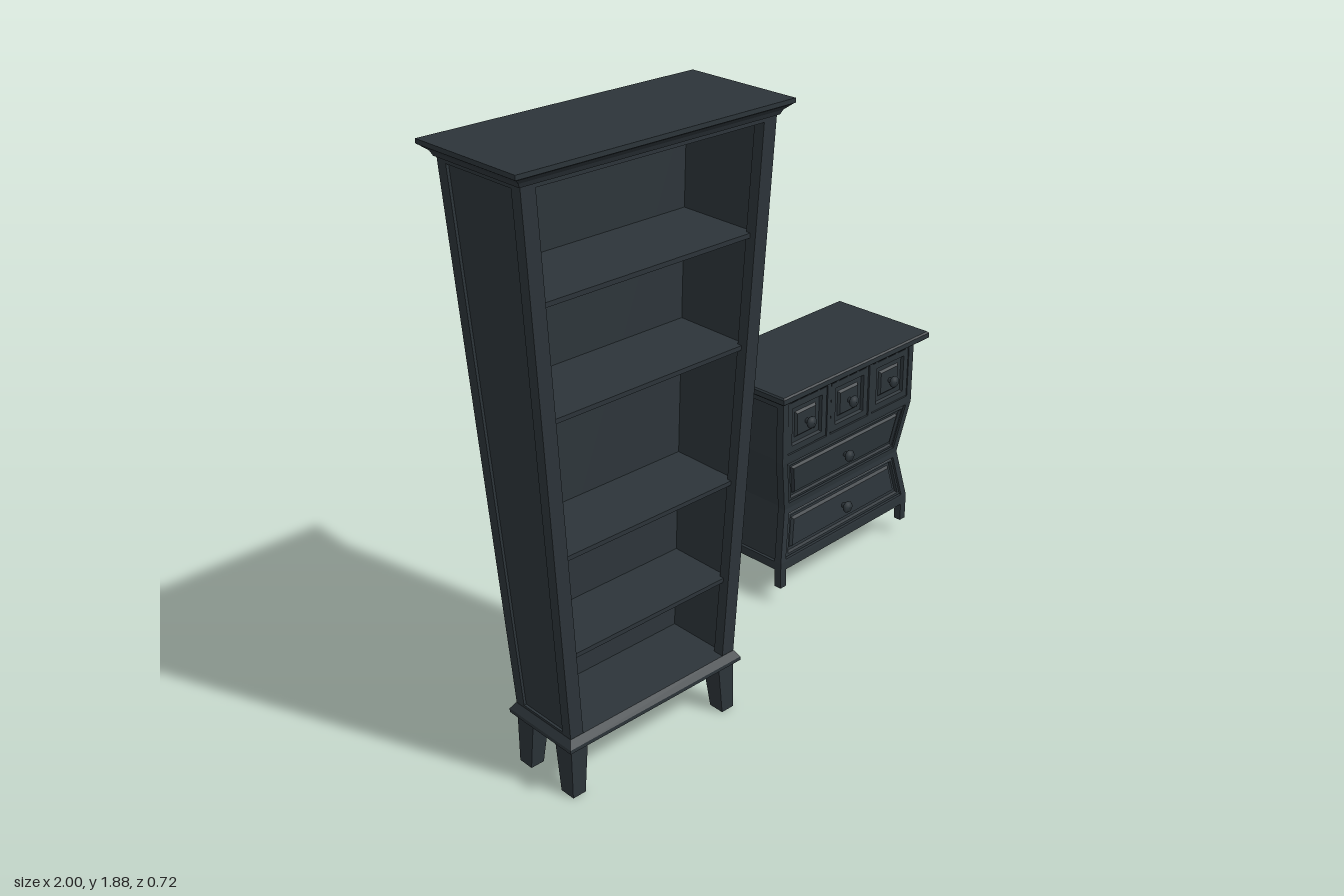
import * as THREE from 'three';

const paint = new THREE.MeshStandardMaterial({ color: 0x2c3439 });
paint.name = 'charcoalPaint';

// Solid skinned over a stack of four-cornered rings, with flat faces
function loft(parent, name, rings) {
  const pos = [];
  const quad = (a, b, c, d) => pos.push(...a, ...b, ...c, ...a, ...c, ...d);
  for (let k = 0; k + 1 < rings.length; k++) {
    const lo = rings[k], hi = rings[k + 1];
    for (let i = 0; i < 4; i++) {
      const j = (i + 1) % 4;
      quad(lo[i], lo[j], hi[j], hi[i]);
    }
  }
  const f = rings[0], l = rings[rings.length - 1];
  quad(f[3], f[2], f[1], f[0]);
  quad(l[0], l[1], l[2], l[3]);
  const g = new THREE.BufferGeometry();
  g.setAttribute('position', new THREE.Float32BufferAttribute(pos, 3));
  g.computeVertexNormals();
  const m = new THREE.Mesh(g, paint);
  m.name = name;
  parent.add(m);
  return m;
}

// Horizontal ring at height y
const ring = (y, x0, x1, z0, z1) => [[x0, y, z1], [x1, y, z1], [x1, y, z0], [x0, y, z0]];
// Centred ring from half width and half depth
const mid = (y, w, d) => ring(y, -w, w, -d, d);
// Column whose plan [x0, x1, z0, z1] depends on height
const column = (p, name, ys, plan) => loft(p, name, ys.map(y => ring(y, ...plan(y))));
// Span of a strip from a to b on side s of the centre
const span = (s, a, b) => (s > 0 ? [a, b] : [-b, -a]);

function bookcase() {
  const g = new THREE.Group();
  g.name = 'bookcase';
  const bottom = 0.195, top = 1.845;
  const t = y => (y - bottom) / (top - bottom);
  const W = y => 0.312 + 0.11 * t(y);
  const D = y => 0.12 + 0.043 * t(y);
  const ends = [bottom, top];

  for (const sx of [-1, 1]) {
    // Recessed side panel
    column(g, 'sidePanel', ends, y => [...span(sx, W(y) - 0.03, W(y) - 0.008), -D(y) + 0.005, D(y) - 0.005]);
    for (const sz of [-1, 1]) {
      // Corner stiles framing the sides and the opening
      column(g, 'cornerStile', ends, y =>
        [...span(sx, W(y) - (sz > 0 ? 0.045 : 0.03), W(y)), ...span(sz, D(y) - 0.035, D(y))]);
      // Legs tapering on their inner faces
      const leg = (y, w, d) => ring(y, ...span(sx, 0.312 - w, 0.312), ...span(sz, 0.12 - d, 0.12));
      loft(g, 'leg', [leg(0, 0.045, 0.052), leg(0.172, 0.06, 0.072)]);
    }
    // Rails across the top and bottom of each side
    for (const [a, b] of [[bottom, 0.21], [1.82, top]])
      column(g, 'sideRail', [a, b], y => [...span(sx, W(y) - 0.03, W(y)), -D(y) + 0.03, D(y) - 0.03]);
  }
  column(g, 'backPanel', ends, y => [-W(y) + 0.02, W(y) - 0.02, -D(y), -D(y) + 0.015]);
  column(g, 'topRail', [1.82, top], y => [-W(y) + 0.03, W(y) - 0.03, D(y) - 0.03, D(y)]);

  // Shelves
  for (const y0 of [0.448, 0.765, 1.18, 1.504])
    column(g, 'shelf', [y0 - 0.004, y0 + 0.01], y => [-W(y) + 0.025, W(y) - 0.025, -D(y) + 0.01, D(y) - 0.02]);

  // Base moulding and cornice
  loft(g, 'baseMoulding', [mid(0.168, 0.327, 0.136), mid(0.18, 0.327, 0.136), mid(0.202, 0.313, 0.121)]);
  loft(g, 'cornice', [mid(1.832, 0.427, 0.168), mid(1.845, 0.433, 0.174),
    mid(1.86, 0.452, 0.19), mid(1.863, 0.457, 0.195), mid(1.876, 0.457, 0.195)]);
  g.position.set(-0.534, 0, 0.146);
  g.rotation.y = -0.038;
  return g;
}

function chest() {
  const g = new THREE.Group();
  g.name = 'drawerChest';
  // How far the waist is pinched, 0 to 1, at height y
  const waist = 0.33;
  const pinch = y => y < waist ? Math.max(0, (y - 0.15) / (waist - 0.15)) : Math.max(0, (0.52 - y) / (0.52 - waist));
  const W = y => 0.331 - 0.038 * pinch(y);
  const D = y => 0.165 - 0.022 * pinch(y);
  const levels = [0.12, 0.15, waist, 0.52, 0.755];
  // Heights from a to b including the bends between them
  const cut = (a, b) => [a, ...levels.filter(y => y > a && y < b), b];

  // Carcass, set back behind its frame at the front and sides
  column(g, 'carcass', levels, y => [-W(y) + 0.01, W(y) - 0.01, -D(y), D(y) - 0.018]);
  for (const sx of [-1, 1]) {
    for (const sz of [-1, 1]) {
      column(g, 'cornerPost', levels, y => [...span(sx, W(y) - 0.024, W(y)), ...span(sz, D(y) - 0.028, D(y))]);
      loft(g, 'foot', [0.056, 0.122].map(y =>
        ring(y, ...span(sx, 0.304, 0.331), ...span(sz, 0.138, 0.165))));
    }
    for (const [a, b] of [[0.12, 0.15], [0.715, 0.755]])
      column(g, 'sideRail', [a, b], y => [...span(sx, W(y) - 0.02, W(y)), -D(y) + 0.02, D(y) - 0.02]);
  }
  // Front rails and dividers
  for (const [a, b] of [[0.12, 0.158], [0.312, 0.35], [0.512, 0.545], [0.728, 0.755]])
    column(g, 'frontRail', cut(a, b), y => [-W(y) + 0.02, W(y) - 0.02, D(y) - 0.022, D(y)]);
  for (const x of [-0.107, 0.107])
    column(g, 'drawerDivider', [0.54, 0.73], y => [x - 0.009, x + 0.009, D(y) - 0.022, D(y)]);

  // Drawer front: rings are [inset, height off the frame face]
  const drawer = (x, y0, y1, half, rings) => {
    loft(g, 'drawerFront', rings.map(([i, h]) => {
      const a = y0 + i, b = y1 - i, wa = half(a) - i, wb = half(b) - i;
      return [[x - wa, a, D(a) + h], [x + wa, a, D(a) + h], [x + wb, b, D(b) + h], [x - wb, b, D(b) + h]];
    }));
    // Turned knob
    const profile = [[0.009, 0], [0.009, 0.012], [0.019, 0.016], [0.021, 0.022], [0.016, 0.029], [0, 0.032]];
    const knob = new THREE.Mesh(new THREE.LatheGeometry(profile.map(p => new THREE.Vector2(...p)), 16), paint);
    knob.name = 'knob';
    const y = (y0 + y1) / 2;
    knob.position.set(x, y, D(y) - 0.005);
    knob.rotation.x = Math.PI / 2;
    g.add(knob);
  };
  const small = [[0, -0.019], [0, -0.003], [0.022, -0.003], [0.026, -0.013], [0.043, -0.013], [0.05, -0.006]];
  const large = [[0, -0.019], [0, -0.006], [0.004, -0.004], [0.01, -0.004], [0.014, -0.013], [0.024, -0.013], [0.03, -0.004]];
  for (const x of [-0.212, 0, 0.212]) drawer(x, 0.548, 0.725, () => 0.094, small);
  for (const [a, b] of [[0.161, 0.309], [0.353, 0.509]]) drawer(0, a, b, y => W(y) - 0.027, large);

  // Overhanging top
  loft(g, 'topMoulding', [mid(0.742, 0.331, 0.165), mid(0.752, 0.345, 0.178)]);
  loft(g, 'topSlab', [mid(0.75, 0.362, 0.192), mid(0.756, 0.369, 0.199), mid(0.773, 0.369, 0.199), mid(0.778, 0.364, 0.194)]);
  g.position.set(0.629, 0, -0.167);
  return g;
}

export function createModel() {
  const model = new THREE.Group();
  model.name = 'furnitureSet';
  model.add(bookcase(), chest());
  return model;
}
